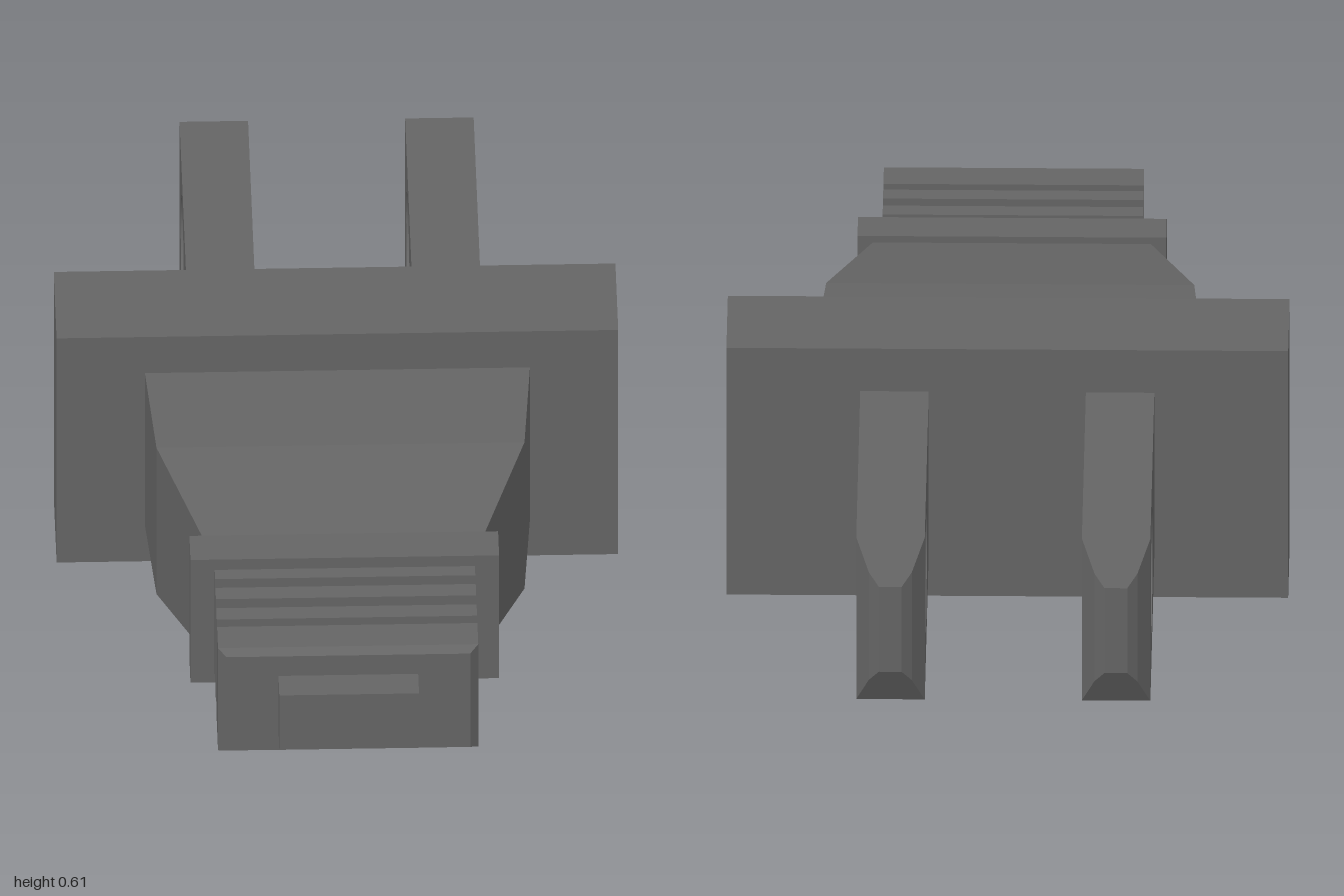
import * as THREE from 'three';
import { toCreasedNormals } from 'three/addons/utils/BufferGeometryUtils.js';

// Closed solid through rectangular sections [z, halfWidth, halfHeight], ordered by rising z
function loft(sections) {
  const corners = [[-1, -1], [1, -1], [1, 1], [-1, 1]];
  const pos = [], idx = [];
  for (const [z, w, h] of sections) {
    for (const [sx, sy] of corners) pos.push(sx * w, sy * h, z);
  }
  for (let s = 0; s < sections.length - 1; s++) {
    for (let i = 0; i < 4; i++) {
      const a = s * 4 + i, b = s * 4 + (i + 1) % 4;
      idx.push(a, b, b + 4, a, b + 4, a + 4);
    }
  }
  const e = (sections.length - 1) * 4;
  idx.push(0, 2, 1, 0, 3, 2, e, e + 1, e + 2, e, e + 2, e + 3);
  const g = new THREE.BufferGeometry();
  g.setAttribute('position', new THREE.Float32BufferAttribute(pos, 3));
  g.setIndex(idx);
  return toCreasedNormals(g, 0.05);
}

const slab = (z0, z1, w, h) => loft([[z0, w, h], [z1, w, h]]);

export function createModel() {
  const group = new THREE.Group();
  const plug = new THREE.Group();
  plug.name = 'plug';
  const grey = new THREE.MeshStandardMaterial({ color: 0x646464 });
  grey.name = 'dark grey';

  const add = (name, geometry, x = 0) => {
    const mesh = new THREE.Mesh(geometry, grey);
    mesh.name = name;
    mesh.position.x = x;
    plug.add(mesh);
  };

  // Face plate and tapering grip
  add('facePlate', slab(-0.26, -0.015, 0.615, 0.305));
  add('grip', loft([[-0.02, 0.422, 0.207], [0.25, 0.403, 0.199], [0.54, 0.302, 0.15]]));

  // Collar and ribbed strain relief
  add('collar', slab(0.533, 0.622, 0.338, 0.167));
  add('neck', slab(0.61, 0.85, 0.232, 0.11));
  for (const [z0, z1] of [[0.615, 0.656], [0.688, 0.73], [0.763, 0.805]]) {
    add('rib', slab(z0, z1, 0.285, 0.139));
  }
  add('endRib', loft([[0.832, 0.285, 0.139], [0.91, 0.285, 0.139], [0.928, 0.267, 0.127]]));
  add('cordStub', slab(0.92, 1.0, 0.153, 0.074));

  // Prongs: blade with a round hole, then a bevelled tip
  const blade = new THREE.Shape();
  blade.moveTo(0.25, -0.2);
  blade.lineTo(0.948, -0.2);
  blade.lineTo(0.948, 0.2);
  blade.lineTo(0.25, 0.2);
  blade.closePath();
  const hole = new THREE.Path();
  hole.absarc(0.715, 0, 0.139, 0, Math.PI * 2, true);
  blade.holes.push(hole);
  const bladeGeometry = new THREE.ExtrudeGeometry(blade, {
    depth: 0.15, bevelEnabled: false, curveSegments: 32,
  });
  bladeGeometry.translate(0, 0, -0.075);
  bladeGeometry.rotateY(Math.PI / 2);
  const prongGeometry = toCreasedNormals(bladeGeometry, 0.6);
  const tipGeometry = loft([
    [-1.0, 0.025, 0.105], [-0.985, 0.047, 0.133], [-0.948, 0.075, 0.2],
  ]);
  for (const side of [-1, 1]) {
    add('prongBlade', prongGeometry, side * 0.247);
    add('prongTip', tipGeometry, side * 0.247);
  }

  // The plug sits very slightly turned about the vertical
  plug.position.set(-0.002, 0.305, 0);
  plug.rotation.y = -0.0125;
  group.add(plug);
  return group;
}
